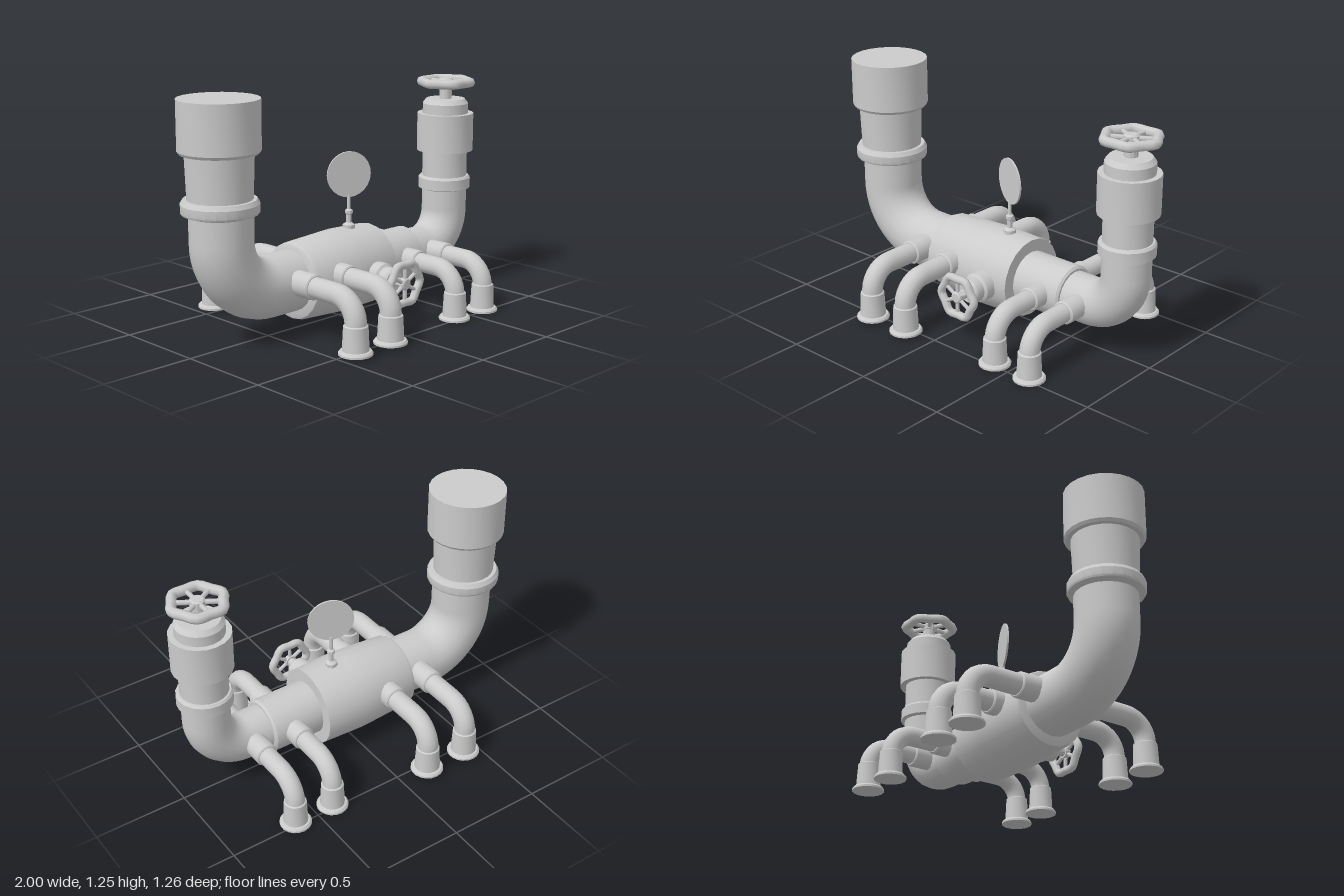
import * as THREE from 'three';
import { toCreasedNormals } from 'three/addons/utils/BufferGeometryUtils.js';

const material = new THREE.MeshStandardMaterial({ color: 0xcccccc });

function mesh(name, geometry, parent) {
  const m = new THREE.Mesh(geometry, material);
  m.name = name;
  parent.add(m);
  return m;
}

// Solid of revolution about y from [radius, height] pairs, closed at both ends
function turned(name, profile, parent, sides = 20) {
  const pts = [[0, profile[0][1]], ...profile, [0, profile[profile.length - 1][1]]];
  const geometry = new THREE.LatheGeometry(pts.map(([r, y]) => new THREE.Vector2(r, y)), sides);
  return mesh(name, toCreasedNormals(geometry, 0.5), parent);
}

// Pipe from a to b around one corner, with a rounded bend
function bentPipe(name, a, corner, b, bend, radius, parent, sides = 20) {
  const [A, C, B] = [a, corner, b].map((p) => new THREE.Vector3(...p));
  const toA = A.clone().sub(C).normalize();
  const toB = B.clone().sub(C).normalize();
  const s = C.clone().addScaledVector(toA, bend);
  const e = C.clone().addScaledVector(toB, bend);
  const k = bend * 0.448;
  const path = new THREE.CurvePath();
  path.add(new THREE.LineCurve3(A, s));
  path.add(new THREE.CubicBezierCurve3(s, C.clone().addScaledVector(toA, k), C.clone().addScaledVector(toB, k), e));
  path.add(new THREE.LineCurve3(e, B));
  return mesh(name, new THREE.TubeGeometry(path, 24, radius, sides), parent);
}

// Handwheel lying in the xz plane: scalloped rim, spokes and hub
function handwheel(name, radius, parent) {
  const wheel = new THREE.Group();
  wheel.name = name;
  const tube = radius * 0.16;
  const rimPoints = [];
  for (let i = 0; i < 12; i++) {
    const a = (i / 12) * Math.PI * 2;
    const r = (radius - tube) * (i % 2 ? 0.88 : 1);
    rimPoints.push(new THREE.Vector3(r * Math.cos(a), 0, r * Math.sin(a)));
  }
  const rim = new THREE.CatmullRomCurve3(rimPoints, true);
  mesh('rim', new THREE.TubeGeometry(rim, 36, tube, 8, true), wheel);
  for (let i = 0; i < 6; i++) {
    const arm = new THREE.Group();
    arm.rotation.y = ((i + 0.5) / 6) * Math.PI * 2;
    const spoke = mesh('spoke', new THREE.CylinderGeometry(tube * 0.5, tube * 0.5, radius * 0.72, 6), arm);
    spoke.rotation.z = Math.PI / 2;
    spoke.position.x = radius * 0.4;
    wheel.add(arm);
  }
  turned('hub', [[radius * 0.24, -tube * 0.8], [radius * 0.24, tube * 0.5], [radius * 0.18, tube * 0.8]], wheel, 12);
  parent.add(wheel);
  return wheel;
}

// Branch pipe leaving the main run along z and turning down to a flanged foot
function branch({ x, y, reach, radius, collarEnd, foot }, side, parent) {
  const g = new THREE.Group();
  g.name = side > 0 ? 'frontBranch' : 'backBranch';
  g.position.x = x;
  const z = side * reach;
  bentPipe('branchPipe', [0, y, 0], [0, y, z], [0, foot + 0.1, z], 0.125, radius, g, 14);
  const collar = turned('branchCollar',
    [[radius + 0.011, 0], [radius + 0.011, collarEnd - 0.006], [radius + 0.004, collarEnd]], g, 14);
  collar.position.y = y;
  collar.rotation.x = side * Math.PI / 2;
  const leg = turned('branchFoot', [
    [radius + 0.032, 0], [radius + 0.032, 0.01], [radius + 0.024, 0.02], [radius + 0.013, 0.022],
    [radius + 0.007, 0.145], [radius, 0.15],
  ], g, 18);
  leg.position.set(0, foot, z);
  parent.add(g);
}

export function createModel() {
  const model = new THREE.Group();
  model.name = 'pipeManifold';

  // Large pipe: elbow, flange and capped top
  bentPipe('largeElbow', [-0.3, 0.262, 0], [-0.79, 0.262, 0], [-0.79, 0.72, 0], 0.28, 0.16, model);
  const large = turned('largeRiser', [
    [0.16, 0.68], [0.19, 0.69], [0.195, 0.7], [0.195, 0.74], [0.182, 0.762], [0.163, 0.762],
    [0.171, 0.985], [0.195, 0.985], [0.205, 1.0], [0.205, 1.25],
  ], model, 24);
  large.position.x = -0.795;

  // Central vessel and reducer along x
  const vessel = turned('vessel', [
    [0.17, -0.345], [0.197, -0.335], [0.203, -0.32], [0.218, -0.05], [0.22, 0.0], [0.212, 0.228],
  ], model);
  vessel.rotation.z = -Math.PI / 2;
  vessel.position.y = 0.253;
  const reducer = turned('reducer', [[0.147, 0.2], [0.147, 0.507], [0.135, 0.518]], model);
  reducer.rotation.z = -Math.PI / 2;
  reducer.position.y = 0.252;

  // Small pipe: elbow, flange, valve body and handwheel
  bentPipe('smallElbow', [0.48, 0.25, 0], [0.835, 0.25, 0], [0.835, 0.62, 0], 0.21, 0.125, model);
  const valve = turned('valveRiser', [
    [0.125, 0.57], [0.145, 0.577], [0.145, 0.635], [0.135, 0.647], [0.125, 0.647], [0.125, 0.79],
    [0.157, 0.79], [0.157, 1.0], [0.127, 1.0], [0.127, 1.055], [0.108, 1.08],
  ], model);
  valve.position.x = 0.835;
  const stem = turned('valveStem', [[0.035, 1.07], [0.035, 1.17]], model, 12);
  stem.position.x = 0.835;
  handwheel('topHandwheel', 0.165, model).position.set(0.835, 1.172, 0);

  // Front valve on the vessel
  const frontValve = new THREE.Group();
  frontValve.name = 'frontValve';
  frontValve.position.set(0.08, 0.24, 0);
  frontValve.rotation.x = Math.PI / 2;
  turned('frontValveBody', [
    [0.08, 0.1], [0.08, 0.265], [0.066, 0.275], [0.066, 0.32], [0.058, 0.333],
  ], frontValve, 16);
  turned('frontValveStem', [[0.024, 0.32], [0.024, 0.41]], frontValve, 10);
  handwheel('frontHandwheel', 0.135, frontValve).position.y = 0.407;
  model.add(frontValve);

  // Gauge with turned post and a thin round dial
  const gauge = new THREE.Group();
  gauge.name = 'gauge';
  gauge.position.x = 0.077;
  gauge.rotation.y = -0.4;
  turned('gaugePost', [
    [0.033, 0.45], [0.033, 0.485], [0.014, 0.497], [0.014, 0.54], [0.021, 0.546],
    [0.021, 0.562], [0.01, 0.57], [0.01, 0.65],
  ], gauge, 10);
  const dial = mesh('gaugeDial', toCreasedNormals(new THREE.CylinderGeometry(0.123, 0.123, 0.01, 24), 0.5), gauge);
  dial.rotation.x = Math.PI / 2;
  dial.position.y = 0.755;
  model.add(gauge);

  // Two sizes of branch, mirrored front and back
  const big = { y: 0.29, reach: 0.542, radius: 0.055, collarEnd: 0.26, foot: 0.015 };
  const small = { y: 0.26, reach: 0.475, radius: 0.051, collarEnd: 0.223, foot: 0 };
  for (const side of [1, -1]) {
    for (const x of [-0.41, -0.165]) branch({ ...big, x }, side, model);
    for (const x of [0.395, 0.62]) branch({ ...small, x }, side, model);
  }
  return model;
}
